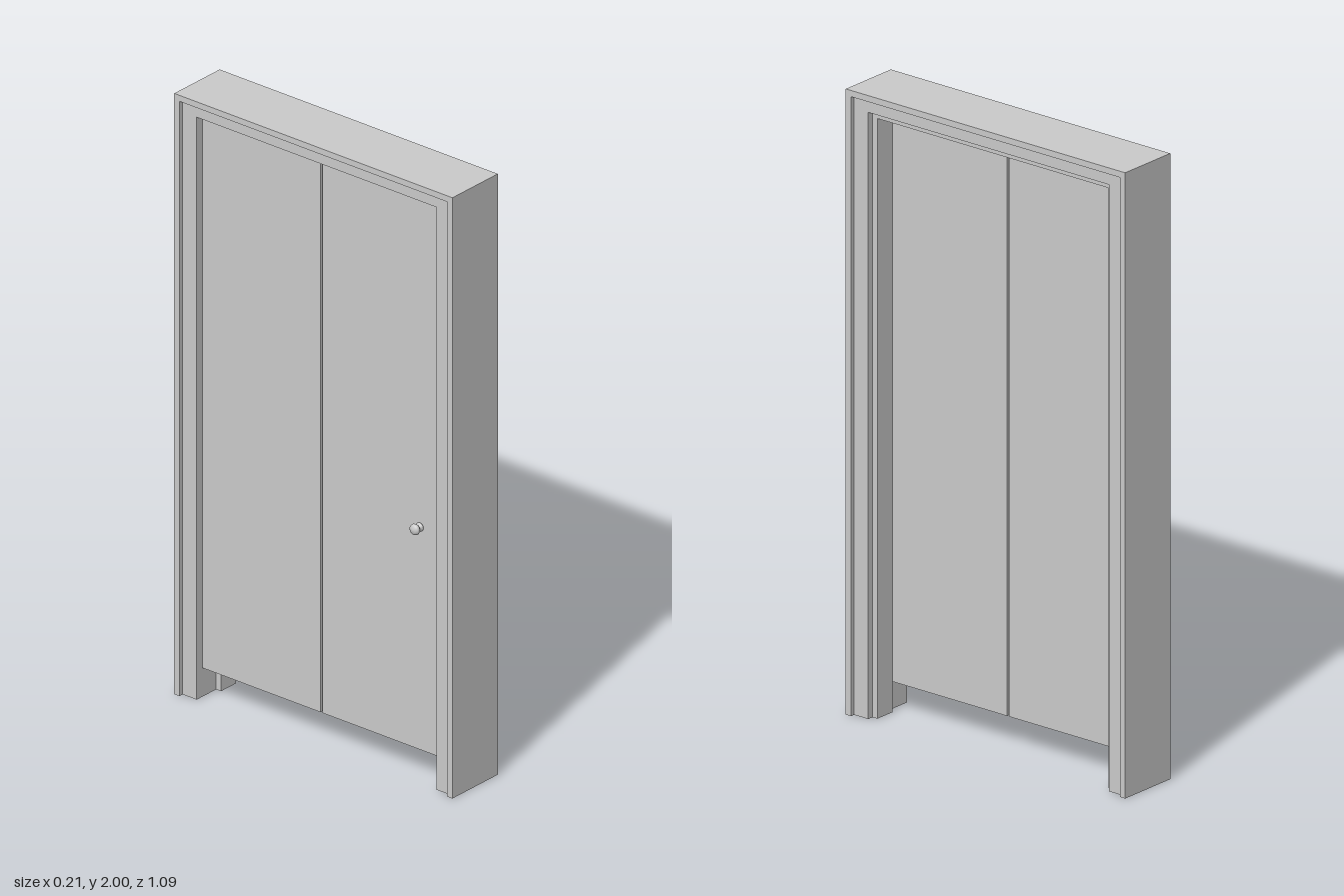
import * as THREE from 'three';

const material = new THREE.MeshStandardMaterial({ color: 0xcccccc });

function addMesh(group, name, geometry) {
  const mesh = new THREE.Mesh(geometry, material);
  mesh.name = name;
  group.add(mesh);
  return mesh;
}

// Upside-down U in the zy plane, swept along x from x0 to x1
function archGeometry([outZ, outY], [inZ, inY], x0, x1) {
  const points = [
    [-outZ, 0], [-inZ, 0], [-inZ, inY], [inZ, inY],
    [inZ, 0], [outZ, 0], [outZ, outY], [-outZ, outY],
  ].map(([z, y]) => new THREE.Vector2(z, y));
  const geometry = new THREE.ExtrudeGeometry(new THREE.Shape(points), {
    depth: x1 - x0, bevelEnabled: false,
  });
  return geometry.translate(0, 0, x0).rotateY(Math.PI / 2);
}

export function createModel() {
  const group = new THREE.Group();
  group.name = 'doubleDoor';

  // Half width and top height of each step of the frame, from outside in
  const outer = [0.543, 2];
  const rim = [0.523, 1.98];
  const jamb = [0.468, 1.939];
  const stop = [0.449, 1.918];

  // Frame: raised rims around the casings, jamb lining between them
  for (const [side, s] of [['front', 1], ['back', -1]]) {
    const span = (a, b) => (s > 0 ? [a, b] : [-b, -a]);
    addMesh(group, side + 'Rim', archGeometry(outer, rim, ...span(0.07, 0.105)));
    addMesh(group, side + 'Casing', archGeometry(rim, jamb, ...span(0.07, 0.09)));
  }
  addMesh(group, 'jambLining', archGeometry(outer, jamb, -0.07, 0.07));

  // Stop the leaves close against
  addMesh(group, 'doorStop', archGeometry(jamb, stop, 0, 0.07));

  // Two leaves with a narrow gap, hung clear of the floor
  const bottom = 0.098, top = 1.936, gap = 0.004, edge = 0.465;
  for (const [side, s] of [['first', 1], ['second', -1]]) {
    const leaf = addMesh(group, side + 'Leaf',
      new THREE.BoxGeometry(0.067, top - bottom, edge - gap));
    leaf.position.set(-0.0335, (top + bottom) / 2, s * (edge + gap) / 2);
  }

  // Turned knob on the back of one leaf
  const profile = [
    [0, 0], [0.014, 0], [0.014, 0.003], [0.006, 0.006], [0.006, 0.013],
    [0.014, 0.017], [0.018, 0.023], [0.016, 0.03], [0.009, 0.034], [0, 0.035],
  ].map(([r, h]) => new THREE.Vector2(r, h));
  const knob = addMesh(group, 'knob',
    new THREE.LatheGeometry(profile, 24).rotateZ(Math.PI / 2));
  knob.position.set(-0.067, 0.84, 0.385);

  return group;
}
